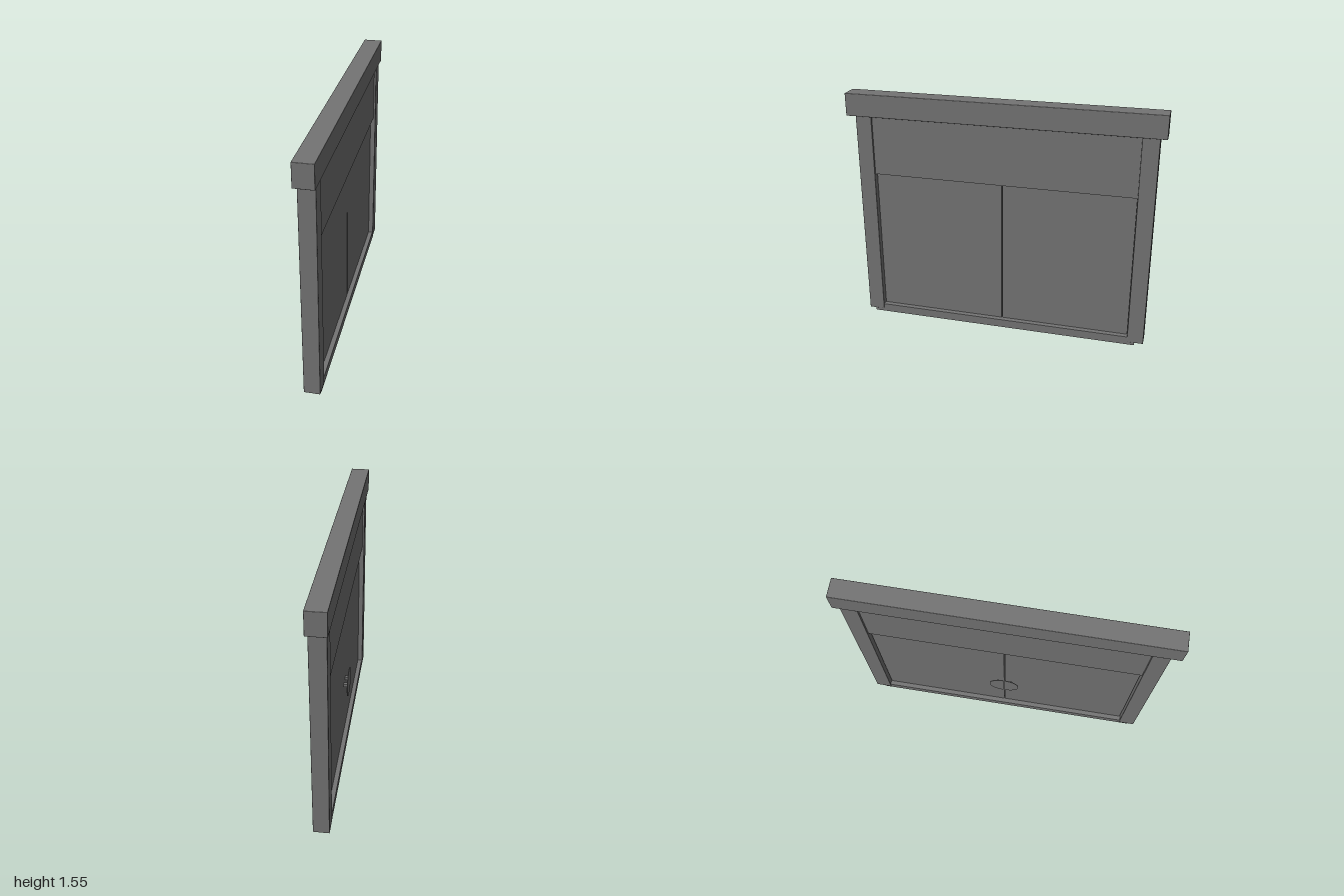
import * as THREE from 'three';
import { RoundedBoxGeometry } from 'three/addons/geometries/RoundedBoxGeometry.js';

const material = new THREE.MeshStandardMaterial({ color: 0x747474 });

// Box given by its limits on each axis; bevel softens the edges
function block(name, [x0, x1], [y0, y1], [z0, z1], bevel = 0) {
  const size = [x1 - x0, y1 - y0, z1 - z0];
  const geometry = bevel
    ? new RoundedBoxGeometry(...size, 2, bevel)
    : new THREE.BoxGeometry(...size);
  const mesh = new THREE.Mesh(geometry, material);
  mesh.position.set((x0 + x1) / 2, (y0 + y1) / 2, (z0 + z1) / 2);
  mesh.name = name;
  return mesh;
}

// Thin half-disc pull plate held off the door's -x face; side = +1 or -1 along z
function pullPlate(name, side, gap) {
  const shape = new THREE.Shape();
  shape.absarc(0, 0, 0.095, -Math.PI / 2, Math.PI / 2, false);
  shape.closePath();
  const geometry = new THREE.ExtrudeGeometry(shape, {
    depth: 0.004, bevelEnabled: false, curveSegments: 24,
  });
  // Turn the outline's x axis to +z or -z and the thickness to the x axis
  geometry.rotateY(-side * Math.PI / 2);
  geometry.translate(side > 0 ? -0.044 : -0.048, 0.447, side * gap);
  const mesh = new THREE.Mesh(geometry, material);
  mesh.name = name;
  return mesh;
}

export function createModel() {
  const model = new THREE.Group();
  model.name = 'doubleDoorway';

  // Lintel beam overhanging the posts
  model.add(block('lintel', [-0.06, 0.06], [1.405, 1.55], [-1, 1], 0.003));

  // Everything below sits slightly off the lintel's centre
  const frame = new THREE.Group();
  frame.name = 'frame';
  frame.position.set(0, 0, -0.009);
  model.add(frame);

  // Threshold, and upper wall panel flush with the header rail below it
  frame.add(block('threshold', [-0.046, 0.046], [0, 0.055], [-0.893, 0.907]));
  frame.add(block('upperPanel', [-0.037, 0.037], [1.066, 1.41], [-0.85, 0.85]));
  frame.add(block('headerRail', [-0.037, 0.037], [1.02, 1.066], [-0.85, 0.85]));

  // Posts, door leaves and pulls, mirrored about the middle
  const gap = 0.003;
  for (const side of [1, -1]) {
    const span = (a, b) => [side * a, side * b].sort((p, q) => p - q);
    const label = side > 0 ? 'left' : 'right';
    frame.add(block(label + 'Post', [-0.05, 0.05], [0.02, 1.408], span(0.846, 0.95), 0.003));
    frame.add(block(label + 'Door', [-0.017, 0.017], [0.058, 1.017], span(gap, 0.842)));
    frame.add(pullPlate(label + 'PullPlate', side, gap));
    frame.add(block(label + 'PullMount', [-0.045, -0.016], [0.437, 0.457], span(0.03, 0.05)));
  }
  return model;
}
